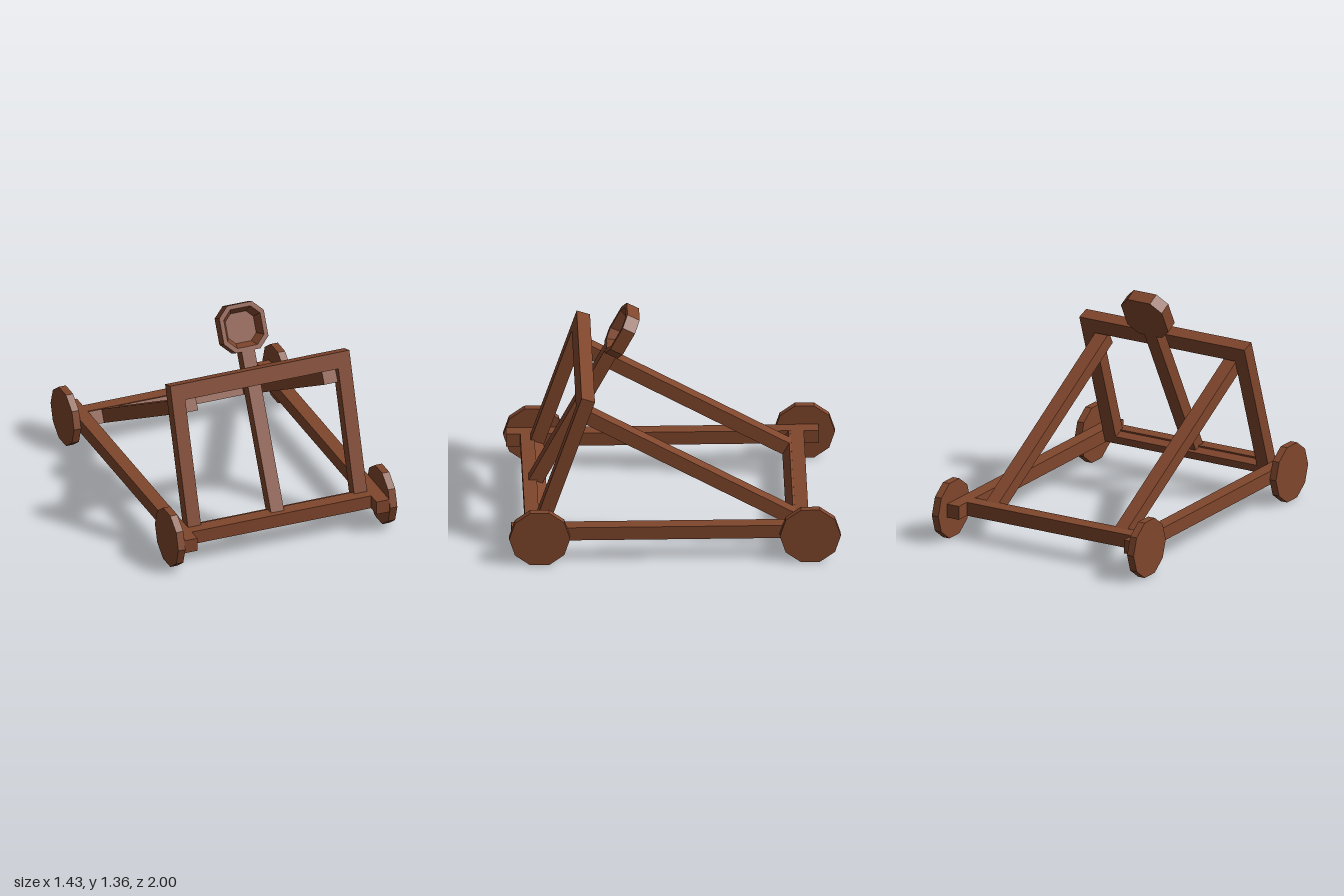
import * as THREE from 'three';

const wood = new THREE.MeshStandardMaterial({ color: 0x80462c, flatShading: true });

// Box given by its limits on each axis
function beam(parent, name, [x0, x1], [y0, y1], [z0, z1]) {
  const mesh = new THREE.Mesh(new THREE.BoxGeometry(x1 - x0, y1 - y0, z1 - z0), wood);
  mesh.position.set((x0 + x1) / 2, (y0 + y1) / 2, (z0 + z1) / 2);
  mesh.name = name;
  parent.add(mesh);
}

// Group tilted about x, with its origin at a known corner of the part
function tilted(parent, name, x, y, z, angle) {
  const group = new THREE.Group();
  group.name = name;
  group.position.set(x, y, z);
  group.rotation.x = angle;
  parent.add(group);
  return group;
}

// Hollow octagonal cup: one chamfered-square outline scaled along a [scale, z] profile
function cupGeometry(half, flat, profile) {
  const outline = [
    [half, -flat], [half, flat], [flat, half], [-flat, half],
    [-half, flat], [-half, -flat], [-flat, -half], [flat, -half],
  ];
  const n = outline.length, positions = [], index = [];
  for (const [s, z] of profile) for (const [x, y] of outline) positions.push(x * s, y * s, z);
  for (let i = 0; i < profile.length - 1; i++) {
    for (let j = 0; j < n; j++) {
      const k = (j + 1) % n;
      const a = i * n + j, b = i * n + k, c = (i + 1) * n + k, d = (i + 1) * n + j;
      if (profile[i][0] > 0) index.push(a, b, c);
      else index.push(a, c, d);
      if (profile[i][0] > 0 && profile[i + 1][0] > 0) index.push(a, c, d);
    }
  }
  const geometry = new THREE.BufferGeometry();
  geometry.setAttribute('position', new THREE.Float32BufferAttribute(positions, 3));
  geometry.setIndex(index);
  const flatGeometry = geometry.toNonIndexed();
  flatGeometry.computeVertexNormals();
  return flatGeometry;
}

export function createModel() {
  const model = new THREE.Group();
  model.name = 'catapult';

  // Flat base frame
  const base = new THREE.Group();
  base.name = 'baseFrame';
  model.add(base);
  const baseY = [0.145, 0.23];
  beam(base, 'frontCrossbeam', [-0.585, 0.585], baseY, [0.815, 0.9]);
  beam(base, 'backCrossbeam', [-0.585, 0.585], baseY, [-0.81, -0.73]);

  // Leaning front frame and the sloping braces behind it
  const uprights = tilted(model, 'uprightFrame', 0, 1.06, 0.56, -0.324);
  const depth = [-0.085, 0];
  beam(uprights, 'topBar', [-0.585, 0.585], [-0.1, 0], depth);
  beam(uprights, 'bottomBar', [-0.5, 0.5], [-0.93, -0.877], depth);

  const braces = tilted(model, 'braceFrame', 0, 0.87, 0.583, -0.514);
  beam(braces, 'braceFoot', [-0.585, 0.585], [0, 0.085], [-1.48, -1.446]);

  // Paired parts
  for (const [side, s] of [['left', 1], ['right', -1]]) {
    const span = (a, b) => (s > 0 ? [a, b] : [-b, -a]);
    beam(base, side + 'Rail', span(0.585, 0.67), baseY, [-0.9, 0.985]);
    beam(uprights, side + 'Post', span(0.5, 0.585), [-0.93, -0.1], depth);
    beam(braces, side + 'Brace', span(0.412, 0.5), [0, 0.085], [-1.48, 0]);

    // Ten-sided wheels, flat edge down
    for (const [end, z] of [['Front', 0.816], ['Back', -0.816]]) {
      const wheel = new THREE.Mesh(new THREE.CylinderGeometry(0.184, 0.184, 0.046, 10), wood);
      wheel.name = side + end + 'Wheel';
      wheel.rotation.z = Math.PI / 2;
      wheel.position.set(s * 0.692, 0.178, z);
      model.add(wheel);
    }
  }

  // Throwing arm with its cup
  const arm = tilted(model, 'throwingArm', -0.011, 1.36, 0.27, -0.484);
  beam(arm, 'armShaft', [-0.0425, 0.0425], [-1.33, -0.265], [-0.083, 0.001]);
  const cup = new THREE.Mesh(cupGeometry(0.145, 0.08, [
    [0, -0.083], [1, -0.083], [1, 0], [0.82, 0], [0.63, -0.055], [0, -0.055],
  ]), wood);
  cup.name = 'cup';
  cup.position.y = -0.145;
  arm.add(cup);

  return model;
}
